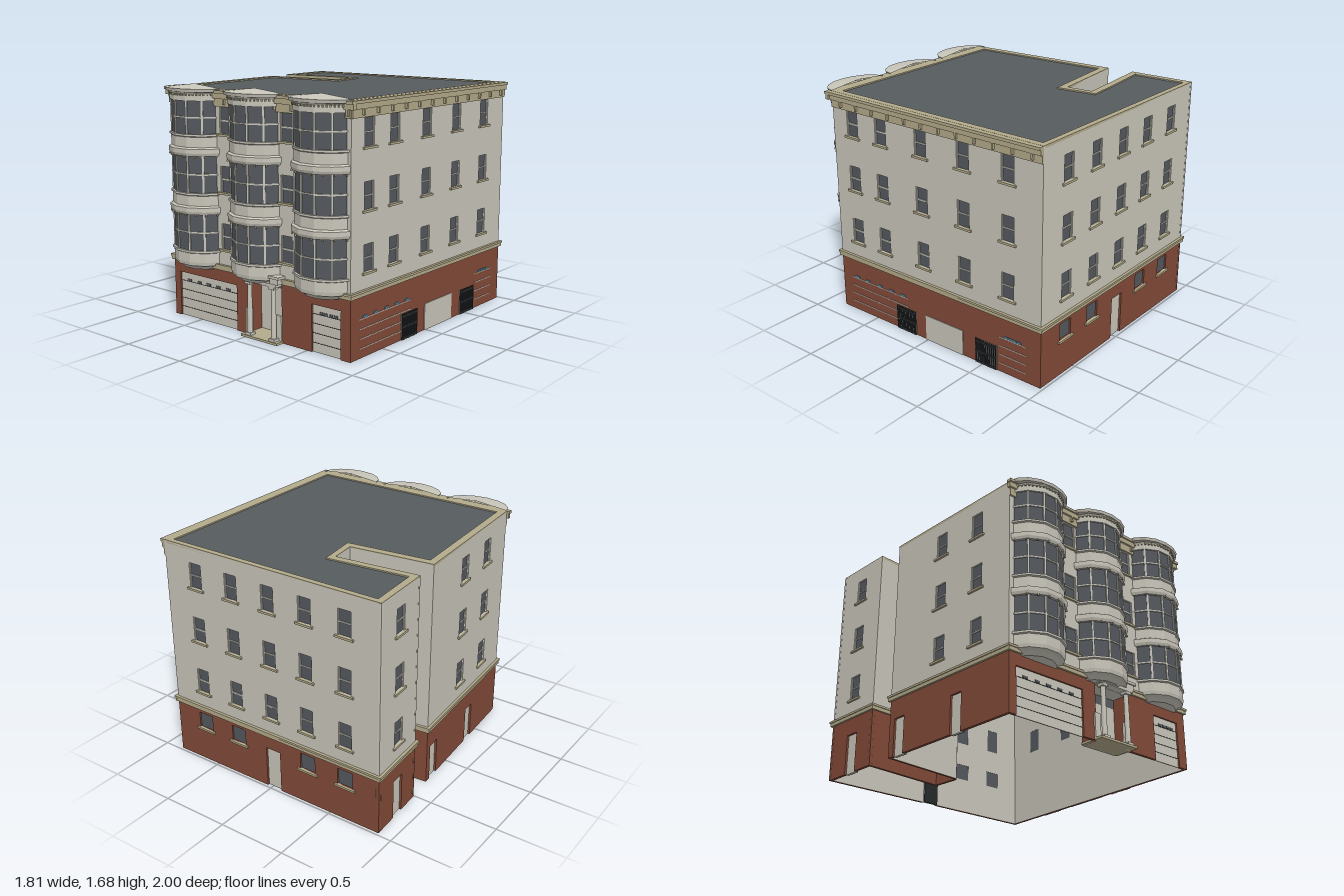
import * as THREE from 'three';

const mat = (name, color, extra = {}) => {
  const m = new THREE.MeshStandardMaterial({ color, ...extra });
  m.name = name;
  return m;
};

export function createModel() {
  const model = new THREE.Group();
  model.name = 'cornerBuilding';
  const cream = mat('cream', 0xc9c6ba, { side: THREE.DoubleSide, flatShading: true });
  const brick = mat('brick', 0x824a38, { side: THREE.DoubleSide });
  const tan = mat('tan', 0xb3aa8a);
  const slate = mat('slate', 0x565b5f);
  const glass = mat('glass', 0x54595e, { side: THREE.DoubleSide, flatShading: true });
  const iron = mat('iron', 0x26292b);
  const blue = mat('blue', 0x4f86a0);

  const add = (parent, name, geo, m) => {
    const mesh = new THREE.Mesh(geo, m);
    mesh.name = name;
    parent.add(mesh);
    return mesh;
  };
  const box = (parent, name, m, x0, x1, y0, y1, z0, z1) => {
    const mesh = add(parent, name, new THREE.BoxGeometry(x1 - x0, y1 - y0, z1 - z0), m);
    mesh.position.set((x0 + x1) / 2, (y0 + y1) / 2, (z0 + z1) / 2);
    return mesh;
  };

  // Wall outline with door notches along the bottom and window holes
  const wallShape = (L, y0, y1, wins, doors) => {
    const s = new THREE.Shape().moveTo(0, y0);
    for (const [a, b, t] of doors) s.lineTo(a, y0).lineTo(a, t).lineTo(b, t).lineTo(b, y0);
    s.lineTo(L, y0).lineTo(L, y1).lineTo(0, y1).closePath();
    for (const [a, b, lo, hi] of wins)
      s.holes.push(new THREE.Path().moveTo(a, lo).lineTo(a, hi).lineTo(b, hi).lineTo(b, lo).closePath());
    return s;
  };
  const slab = (shape) => new THREE.ExtrudeGeometry(shape, { depth: 0.02, bevelEnabled: false }).translate(0, 0, -0.02);

  // One facade: local x runs along the wall, local z points outward
  const floors = [0.56, 0.96, 1.36];
  function facade(name, [ax, az], [bx, bz], columns, doors = [], lowWindows = []) {
    const g = new THREE.Group();
    g.name = name;
    g.position.set(ax, 0, az);
    g.rotation.y = Math.atan2(az - bz, bx - ax);
    model.add(g);
    const L = Math.hypot(bx - ax, bz - az);
    const wins = columns.flatMap((s) => floors.map((y) => [s - 0.05, s + 0.05, y, y + 0.18]));
    const low = lowWindows.map((s) => [s - 0.06, s + 0.06, 0.26, 0.38]);
    add(g, 'upperWall', slab(wallShape(L, 0.41, 1.65, wins, [])), cream);
    const base = wallShape(L, 0, 0.41, low, doors);
    add(g, 'brickBase', slab(base), brick);
    add(g, 'innerLining', new THREE.ShapeGeometry(base).translate(0, 0, -0.021), cream);
    box(g, 'beltCourse', tan, -0.015, L + 0.015, 0.41, 0.435, 0, 0.014);
    box(g, 'beltCap', tan, -0.02, L + 0.02, 0.435, 0.45, 0, 0.02);
    for (const [a, b, lo, hi] of [...wins, ...low]) {
      box(g, 'windowGlass', glass, a, b, lo, hi, -0.018, -0.012);
      box(g, 'windowSill', tan, a - 0.02, b + 0.02, lo - 0.015, lo, -0.01, 0.014);
      if (lo > 0.5) {
        box(g, 'sashRail', cream, a, b, lo + 0.085, lo + 0.095, -0.012, -0.006);
        for (const x of [a, b - 0.006]) box(g, 'sashStile', cream, x, x + 0.006, lo, hi, -0.012, -0.006);
      }
    }
    return g;
  }

  // Footprint, each wall running left to right as seen from outside
  const P = [[-0.757, 0.84], [0.858, 0.84], [0.858, -0.98], [-0.893, -0.98],
    [-0.863, -0.505], [-0.256, -0.56], [-0.235, -0.37], [-0.842, -0.31]];
  const fx = (x) => x + 0.757, rz = (z) => 0.84 - z, kx = (x) => 0.858 - x;
  const leftGarage = [fx(-0.7), fx(-0.135), 0.325], rightGarage = [fx(0.54), fx(0.78), 0.325];
  const porch = [fx(-0.02), fx(0.28), 0.4];
  const front = facade('frontWall', P[0], P[1], [fx(-0.218), fx(0.332)], [leftGarage, porch, rightGarage]);
  const right = facade('rightWall', P[1], P[2], [0.655, 0.385, 0.02, -0.345, -0.71].map(rz));
  const backDoor = [kx(0.04), kx(-0.08), 0.31];
  const back = facade('backWall', P[2], P[3], [0.594, 0.287, -0.02, -0.318, -0.626].map(kx), [backDoor],
    [0.594, 0.287, -0.318, -0.626].map(kx));
  const rearDoor = [0.19, 0.3, 0.29], sideDoors = [[0.05, 0.15, 0.27], [0.62, 0.72, 0.27]];
  const rearLeft = facade('rearLeftWall', P[3], P[4], [0.24], [rearDoor]);
  facade('courtRearWall', P[4], P[5], []);
  facade('courtEndWall', P[5], P[6], []);
  facade('courtFrontWall', P[6], P[7], []);
  const frontLeft = facade('frontLeftWall', P[7], P[0], [0.485, 0.845], sideDoors);

  // Plain recessed doors
  const door = (g, [a, b, t]) => {
    box(g, 'door', cream, a, b, 0, t, -0.03, -0.015);
    box(g, 'doorInside', iron, a, b, 0, t, -0.036, -0.03);
  };
  door(back, backDoor);
  door(rearLeft, rearDoor);
  sideDoors.forEach((d) => door(frontLeft, d));

  // Front garage doors with panel joints and small lights
  for (const [[a, b, t], lights] of [[leftGarage, [0.14, 0.24, 0.335, 0.43, 0.53]], [rightGarage, [1.37, 1.41, 1.45, 1.49]]]) {
    box(front, 'garageDoor', cream, a, b, 0, t, -0.02, -0.012);
    for (const y of [0.065, 0.13, 0.195, 0.26]) box(front, 'panelJoint', iron, a, b, y - 0.002, y + 0.002, -0.012, -0.01);
    const w = lights.length > 4 ? 0.02 : 0.015;
    for (const x of lights) box(front, 'garageLight', slate, x - w, x + w, 0.264, 0.28, -0.012, -0.008);
  }

  // Recessed entrance with columns
  const [pa, pb] = porch;
  for (const x of [pa, pb]) box(front, 'porchSide', brick, x - 0.004, x + 0.004, 0, 0.4, -0.13, -0.005);
  box(front, 'porchCeiling', cream, pa, pb, 0.395, 0.402, -0.13, -0.005);
  box(front, 'entranceDoor', cream, pa, pb, 0, 0.33, -0.13, -0.12);
  box(front, 'transom', slate, pa, pb, 0.33, 0.395, -0.13, -0.12);
  box(front, 'doorstep', tan, fx(-0.04), fx(0.29), 0, 0.016, -0.12, 0.065);
  for (const [a, b] of [[-0.04, 0.01], [0.235, 0.285]]) box(front, 'porchPier', cream, fx(a), fx(b), 0, 0.19, -0.01, 0.012);
  for (const x of [0.02, 0.237]) {
    const shaft = add(front, 'column', new THREE.CylinderGeometry(0.016, 0.019, 0.35, 12), cream);
    shaft.position.set(fx(x), 0.205, 0.033);
    box(front, 'columnBase', cream, fx(x) - 0.025, fx(x) + 0.025, 0.016, 0.034, 0.008, 0.058);
    box(front, 'columnCapital', cream, fx(x) - 0.025, fx(x) + 0.025, 0.375, 0.395, 0.008, 0.058);
  }
  box(front, 'lintel', cream, fx(-0.02), fx(0.28), 0.393, 0.415, 0, 0.06);
  box(front, 'lintelEndBlock', cream, fx(0.225), fx(0.295), 0.415, 0.452, 0, 0.055);
  box(front, 'lintelEndCap', cream, fx(0.21), fx(0.31), 0.452, 0.47, 0, 0.065);

  // Right side: banded doors with blue lights, iron gates, pale shutter
  const bands = [[0.75, 0.18, 0.26], [0.75, 0.18, 0.195], [0.75, 0.29, 0.13], [0.75, 0.29, 0.065]];
  for (const y of [0.26, 0.195, 0.13, 0.065]) bands.push([-0.64, -0.87, y]);
  for (const [a, b, y] of bands) box(right, 'paleBand', cream, rz(a), rz(b), y - 0.003, y + 0.003, 0, 0.003);
  for (const z of [0.69, 0.58, 0.46, 0.345, 0.23, -0.7, -0.735, -0.77, -0.805])
    box(right, 'blueLight', blue, rz(z) - (z > 0 ? 0.02 : 0.014), rz(z) + (z > 0 ? 0.02 : 0.014), 0.265, 0.28, 0, 0.004);
  box(right, 'shutter', cream, rz(0.015), rz(-0.325), 0, 0.19, 0, 0.005);
  for (const z of [0.2, -0.53]) {
    const s = rz(z);
    box(right, 'gateBacking', cream, s - 0.09, s + 0.09, 0, 0.18, 0, 0.003);
    for (let i = 0; i <= 10; i++) {
      const x = s - 0.085 + i * 0.017;
      box(right, 'gateBar', iron, x - 0.005, x + 0.005, 0, 0.183, 0.003, 0.009);
    }
    for (const y of [0.01, 0.09, 0.165]) box(right, 'gateRail', iron, s - 0.09, s + 0.09, y - 0.008, y + 0.008, 0.003, 0.01);
  }

  // Cornice with brackets on the front and right
  for (const [g, L] of [[front, 1.615], [right, 1.82]]) {
    box(g, 'cornice', tan, 0, L, 1.545, 1.6, 0, 0.012);
    box(g, 'corniceShelf', tan, -0.015, L + (g === front ? 0.037 : 0), 1.6, 1.635, 0, 0.026);
    box(g, 'corniceCap', tan, -0.02, L + (g === front ? 0.037 : 0), 1.635, 1.655, 0, 0.037);
    for (let x = 0.1; x < L; x += 0.15) box(g, 'bracket', tan, x - 0.007, x + 0.007, 1.56, 1.6, 0.01, 0.028);
  }

  // Flat roof and its border
  const plan = (pts, C) => new C(pts.map(([x, z]) => new THREE.Vector2(x, -z)));
  const inner = [[-0.705, 0.785], [0.81, 0.785], [0.81, -0.94], [-0.842, -0.94],
    [-0.815, -0.56], [-0.22, -0.615], [-0.18, -0.32], [-0.784, -0.26]];
  const border = plan(P, THREE.Shape);
  border.holes.push(plan(inner, THREE.Path));
  const flat = (s, y, depth) => new THREE.ExtrudeGeometry(s, { depth, bevelEnabled: false }).rotateX(-Math.PI / 2).translate(0, y, 0);
  add(model, 'roofBorder', flat(border, 1.635, 0.021), tan);
  add(model, 'roof', flat(plan(inner, THREE.Shape), 1.635, 0.012), slate);

  // Three faceted bays
  const A = 1.2, N = 5;
  const lathe = (pts) => new THREE.LatheGeometry(pts.map(([r, y]) => new THREE.Vector2(r, y)), N, -A, 2 * A);
  const glazing = [[0.545, 0.8], [0.95, 1.205], [1.355, 1.58]];
  const spandrel = (lo, hi) => [[0.228, lo], [0.246, lo], [0.254, lo + 0.02], [0.254, lo + 0.05], [0.236, lo + 0.06],
    [0.236, hi - 0.02], [0.246, hi - 0.014], [0.246, hi], [0.228, hi]];
  // Point on the faceted outline at a given angle
  const onFacet = (r, t) => {
    const step = 2 * A / N;
    const mid = -A + (Math.min(N - 1, Math.floor((t + A) / step)) + 0.5) * step;
    const d = r * Math.cos(step / 2) / Math.cos(t - mid);
    return [Math.sin(t) * d, Math.cos(t) * d, mid];
  };
  for (const x of [-0.51, 0.055, 0.62]) {
    const bay = new THREE.Group();
    bay.name = 'bay';
    bay.position.set(x, 0, 0.744);
    model.add(bay);
    add(bay, 'bayFoot', lathe([[0.1, 0.4], [0.18, 0.4], [0.205, 0.425], [0.23, 0.435], [0.235, 0.46], [0.235, 0.525],
      [0.246, 0.53], [0.246, 0.545], [0.228, 0.545]]), cream);
    add(bay, 'baySpandrel', lathe(spandrel(0.8, 0.95)), cream);
    add(bay, 'baySpandrel', lathe(spandrel(1.205, 1.355)), cream);
    add(bay, 'bayFrieze', lathe([[0.228, 1.58], [0.24, 1.58], [0.24, 1.625], [0.25, 1.64]]), cream);
    for (const [lo, hi] of glazing) {
      add(bay, 'bayGlass', lathe([[0.23, lo], [0.23, hi]]), glass);
      const m = (lo + hi) / 2 - 0.005;
      add(bay, 'bayTransom', lathe([[0.228, m], [0.237, m], [0.237, m + 0.01], [0.228, m + 0.01]]), cream);
      for (let i = 0; i <= N; i++) {
        const t = -A + (i * 2 * A) / N;
        const bar = box(bay, 'bayMullion', cream, -0.007, 0.007, lo, hi, -0.006, 0.006);
        bar.position.x = Math.sin(t) * 0.23;
        bar.position.z = Math.cos(t) * 0.23;
        bar.rotation.y = t;
      }
    }
    // Small dentils below the eave and the ledges
    for (const [y, r, n] of [[1.615, 0.244, 22], [0.79, 0.25, 8], [1.195, 0.25, 8]])
      for (let i = 0; i < n; i++) {
        const [dx, dz, turn] = onFacet(r, -1.1 + (2.2 * i) / (n - 1));
        const d = box(bay, 'dentil', tan, -0.005, 0.005, y, y + 0.014, -0.006, 0.006);
        d.position.x = dx;
        d.position.z = dz;
        d.rotation.y = turn;
      }
    const cap = add(bay, 'bayCap', new THREE.LatheGeometry([[0.2, 1.635], [0.24, 1.64], [0.247, 1.662], [0.001, 1.685]]
      .map(([r, y]) => new THREE.Vector2(r, y)), 8, -Math.PI / 2, Math.PI), cream);
    cap.position.z = 0.086;
    cap.scale.z = 0.69;
  }
  return model;
}
